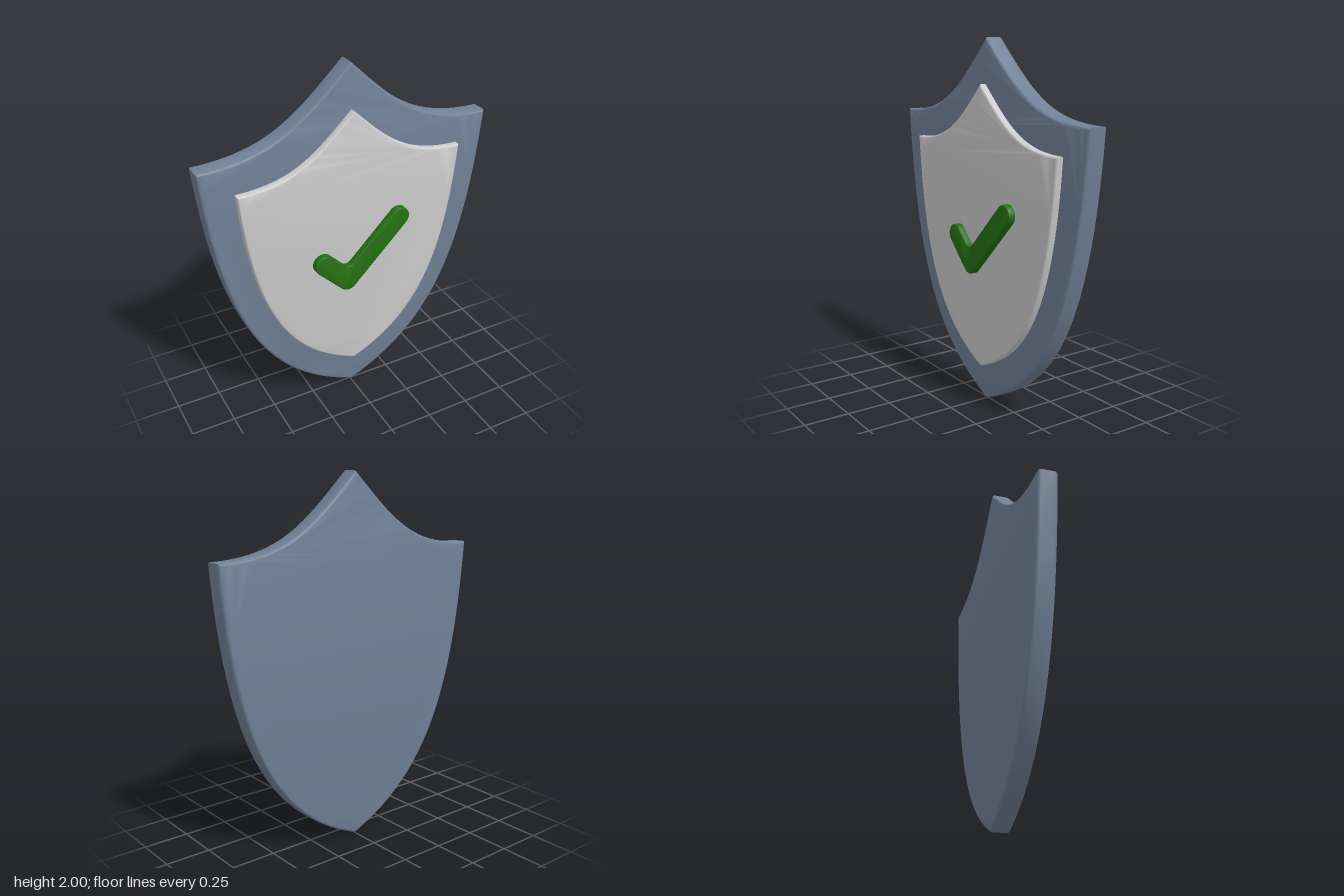
import * as THREE from 'three';
import { toCreasedNormals } from 'three/addons/utils/BufferGeometryUtils.js';

// Pointed shield outline, mirrored about x = 0
function shieldShape(scale, lift) {
  const p = (x, y) => [x * scale, y * scale + lift];
  const s = new THREE.Shape();
  s.moveTo(...p(0, 0));
  s.bezierCurveTo(...p(0.56, 0.22), ...p(0.76, 0.72), ...p(0.825, 1.59));
  s.bezierCurveTo(...p(0.42, 1.59), ...p(0.27, 1.74), ...p(0, 2));
  s.bezierCurveTo(...p(-0.27, 1.74), ...p(-0.42, 1.59), ...p(-0.825, 1.59));
  s.bezierCurveTo(...p(-0.76, 0.72), ...p(-0.56, 0.22), ...p(0, 0));
  return s;
}

// Check mark: two 45 degree strokes with round ends and a softened inner corner
function checkShape() {
  const r = 0.057, d = r * Math.SQRT1_2, q = Math.PI / 4;
  const [ax, ay] = [-0.195, 0.927], [bx, by] = [-0.055, 0.787], [cx, cy] = [0.262, 1.104];
  const inner = by + r * Math.SQRT2, f = 0.03;
  const s = new THREE.Shape();
  s.moveTo(ax - d, ay - d);
  s.lineTo(bx - d, by - d);
  s.absarc(bx, by, r, -3 * q, -q, false);
  s.lineTo(cx + d, cy - d);
  s.absarc(cx, cy, r, -q, 3 * q, false);
  s.lineTo(bx + f, inner + f);
  s.quadraticCurveTo(bx, inner, bx - f, inner + f);
  s.lineTo(ax + d, ay + d);
  s.absarc(ax, ay, r, q, 5 * q, false);
  return s;
}

// Rounded-edge slab between two depths, keeping the outline at its full size
function slab(name, shape, back, front, bevel, color) {
  const geometry = new THREE.ExtrudeGeometry(shape, {
    depth: front - back - 2 * bevel,
    curveSegments: 24,
    bevelEnabled: true,
    bevelThickness: bevel,
    bevelSize: bevel,
    bevelOffset: -bevel,
    bevelSegments: 5,
  });
  geometry.translate(0, 0, back + bevel);
  const mesh = new THREE.Mesh(
    toCreasedNormals(geometry, 0.6),
    new THREE.MeshStandardMaterial({ color })
  );
  mesh.name = name;
  return mesh;
}

export function createModel() {
  const group = new THREE.Group();
  group.name = 'shield';
  group.add(
    slab('shieldBody', shieldShape(1, 0), -0.092, 0.016, 0.017, 0x718096),
    slab('innerPanel', shieldShape(0.78, 0.2), -0.01, 0.054, 0.012, 0xcccccc),
    slab('checkMark', checkShape(), 0.03, 0.092, 0.008, 0x236e12)
  );
  return group;
}
